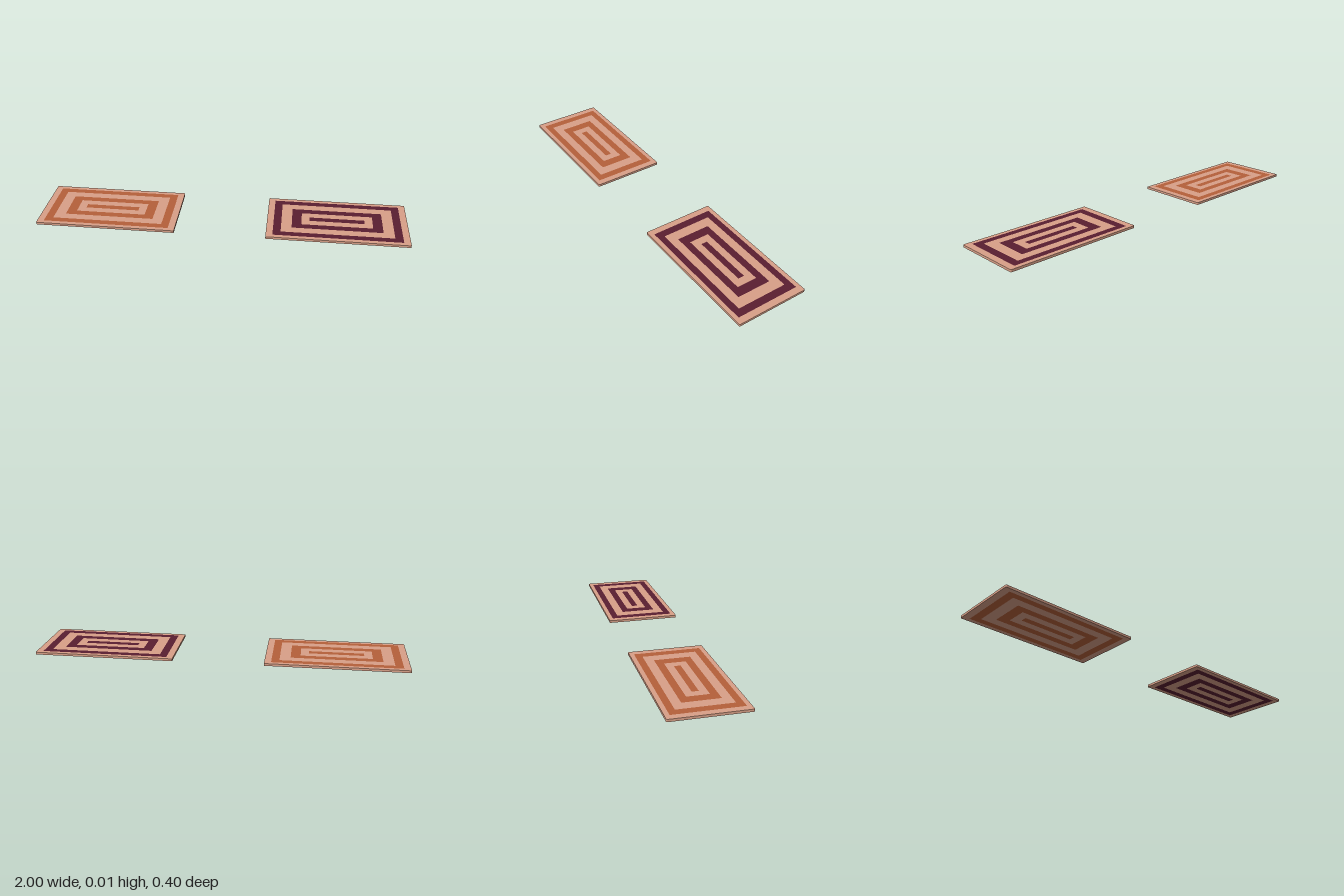
import * as THREE from 'three';

const THICKNESS = 0.013;
// Half width and half depth of each concentric band, from the rim inwards
const BANDS = [
  [0.378, 0.198], [0.342, 0.174], [0.3, 0.139],
  [0.243, 0.094], [0.191, 0.056], [0.148, 0.017],
];

// Rectangle outline; r rounds the corners
function trace(path, [w, d], r = 0) {
  if (!r) {
    path.moveTo(-w, -d).lineTo(w, -d).lineTo(w, d).lineTo(-w, d).closePath();
    return path;
  }
  path.moveTo(-w + r, -d);
  path.absarc(w - r, -d + r, r, -Math.PI / 2, 0);
  path.absarc(w - r, d - r, r, 0, Math.PI / 2);
  path.absarc(-w + r, d - r, r, Math.PI / 2, Math.PI);
  path.absarc(-w + r, -d + r, r, Math.PI, Math.PI * 1.5);
  path.closePath();
  return path;
}

// One flat mat of nested rings, alternating ground and stripe colours
function makeMat(name, stripeColor) {
  const mat = new THREE.Group();
  mat.name = name;
  const ground = new THREE.MeshStandardMaterial({ color: 0xd9a088 });
  const stripe = new THREE.MeshStandardMaterial({ color: stripeColor });
  BANDS.forEach((size, i) => {
    const shape = trace(new THREE.Shape(), size, i === 0 ? 0.006 : 0);
    if (i < BANDS.length - 1) shape.holes.push(trace(new THREE.Path(), BANDS[i + 1]));
    const geometry = new THREE.ExtrudeGeometry(shape, {
      depth: THICKNESS, bevelEnabled: false, curveSegments: 4,
    });
    geometry.rotateX(-Math.PI / 2);
    const band = new THREE.Mesh(geometry, i % 2 ? stripe : ground);
    band.name = i === 0 ? 'rim' : i % 2 ? `stripeBand${i}` : `groundBand${i}`;
    mat.add(band);
  });
  return mat;
}

export function createModel() {
  const model = new THREE.Group();
  model.name = 'patternedMats';
  const right = makeMat('rightMat', 0xb5603a);
  const left = makeMat('leftMat', 0x5a1e30);
  right.position.x = -0.622;
  left.position.x = 0.622;
  model.add(right, left);
  return model;
}
